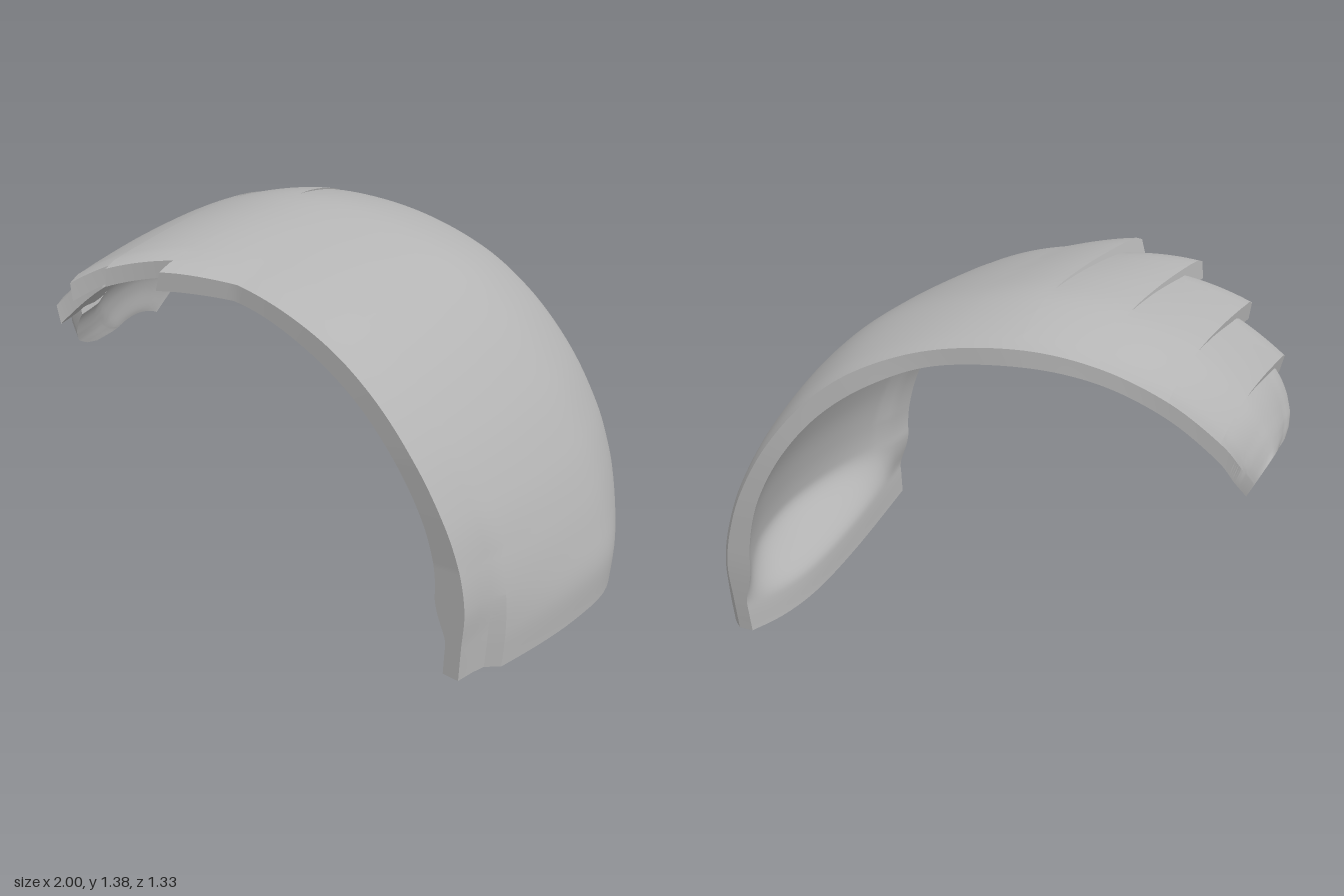
import * as THREE from 'three';
import { toCreasedNormals } from 'three/addons/utils/BufferGeometryUtils.js';

// Arch stations from the foot to the far tip: outer x, y, inner x, y, back edge z
const stations = [
  [0.99, 0, 0.66, 0.03, -0.66], [0.995, 0.16, 0.67, 0.15, -0.665], [0.965, 0.3, 0.71, 0.3, -0.665],
  [0.92, 0.45, 0.705, 0.45, -0.655], [0.85, 0.62, 0.66, 0.62, -0.64], [0.73, 0.835, 0.56, 0.81, -0.615],
  [0.555, 1.058, 0.42, 0.98, -0.577], [0.355, 1.22, 0.24, 1.115, -0.534], [0.06, 1.335, 0.02, 1.21, -0.478],
  [-0.23, 1.38, -0.27, 1.24, -0.415], [-0.49, 1.335, -0.505, 1.2, -0.345], [-0.72, 1.225, -0.705, 1.09, -0.265],
  [-0.89, 1.08, -0.86, 0.94, -0.19], [-0.965, 0.97, -0.915, 0.835, -0.135], [-1, 0.88, -0.945, 0.76, -0.08],
];
const last = stations.length - 1;
const outerCurve = new THREE.CatmullRomCurve3(stations.map(s => new THREE.Vector3(s[0], s[1], s[4])), false, 'catmullrom');
const innerCurve = new THREE.CatmullRomCurve3(stations.map(s => new THREE.Vector3(s[2], s[3], 0)), false, 'catmullrom');
const { lerp, clamp, smoothstep, mapLinear } = THREE.MathUtils;

// Piecewise linear lookup in a list of [position, value]
function lookup(table, t) {
  let i = 0;
  while (i < table.length - 2 && t > table[i + 1][0]) i++;
  const [a, b] = [table[i], table[i + 1]];
  return mapLinear(t, a[0], b[0], a[1], b[1]);
}
const smooth = pts => new THREE.SplineCurve(pts.map(p => new THREE.Vector2(...p))).getPoints(24);

// Cross-section across the shell: [position, depth], depth 0 = crown, 1 = inner rim
const crown = smooth([[0, 0.58], [0.06, 0.38], [0.2, 0.14], [0.37, 0], [0.6, 0.05], [0.8, 0.16], [1, 0.31]]);
const hollow = smooth([[0, 1], [0.06, 0.85], [0.2, 0.62], [0.4, 0.47], [0.6, 0.48], [0.8, 0.6], [1, 0.83]])
  .map(p => [p.x, p.y]);
// Inner face of the solid foot
const footFace = smooth([[0, 0.76], [0.12, 0.93], [0.3, 1], [0.6, 0.92], [1, 0.73]]).map(p => [p.x, p.y]);
// Width of the front lip and the inner front line, by station
const lipWidth = [[0, 0.16], [3, 0.18], [8.2, 0.15], [9, 0.135], [14, 0.13]];
const innerFront = [[0, 0.33], [8.2, 0.41], [9, 0.46], [10, 0.45], [11, 0.4], [12, 0.33], [14, 0.15]];

// One cross-section at station t with its front edge at zFront
function section(t, zFront, lift) {
  const o = outerCurve.getPoint(t / last), n = innerCurve.getPoint(t / last);
  const zBack = o.z, zCrease = zFront - lookup(lipWidth, t), zInner = lookup(innerFront, t);
  const solid = 1 - smoothstep(t, 0.9, 2.2);
  const tipFill = 0.6 * smoothstep(t, 12.6, 14);
  const step = lerp(0.45, 0.36, smoothstep(t, 1, 6));
  const at = (d, z) => [o.x + (n.x - o.x) * d, o.y + (n.y - o.y) * d, z];
  const outer = [], inner = [];
  const add = (z, d, e, v) => {
    const flat = lookup(footFace, (z - zBack) / (zFront - zBack));
    outer.push(at(d - lift * v, z));
    inner.push(at(lerp(lerp(e, 1, tipFill), flat, solid), z));
  };
  for (const p of crown) {
    const z = lerp(zBack, zCrease, p.x);
    add(z, p.y, lookup(hollow, clamp((z - zBack) / (zInner - zBack), 0, 1)), p.x);
  }
  // lip in front of the crease
  add(zCrease + 0.04, step, 0.9, 1);
  add(zCrease + 0.09, step + 0.05, 0.96, 1);
  add(zFront, 0.55, 1, 1);
  return outer.concat(inner.reverse());
}

// Closed loft between the stations of a front edge table
function loft(edge, rows) {
  const t0 = edge[0][0], t1 = edge[edge.length - 1][0];
  const rings = [];
  for (let r = 0; r <= rows; r++) {
    const t = lerp(t0, t1, r / rows);
    rings.push(section(t, lookup(edge, t), 0.04 * smoothstep(t, t1 - 1, t1)));
  }
  const m = rings[0].length, pos = [];
  const tri = (a, b, c) => pos.push(...a, ...b, ...c);
  for (let r = 0; r < rows; r++) {
    for (let i = 0; i < m; i++) {
      const j = (i + 1) % m, A = rings[r], B = rings[r + 1];
      tri(A[i], B[i], A[j]);
      tri(A[j], B[i], B[j]);
    }
  }
  // end caps
  const [S, E] = [rings[0], rings[rows]];
  for (let i = 0; i < m / 2 - 1; i++) {
    const k = m - 1 - i;
    tri(S[i], S[i + 1], S[k]);
    tri(S[i + 1], S[k - 1], S[k]);
    tri(E[i], E[k], E[i + 1]);
    tri(E[i + 1], E[k], E[k - 1]);
  }
  const g = new THREE.BufferGeometry();
  g.setAttribute('position', new THREE.Float32BufferAttribute(pos, 3));
  return toCreasedNormals(g, 0.5);
}

export function createModel() {
  const group = new THREE.Group();
  group.name = 'archedShell';
  const grey = new THREE.MeshStandardMaterial({ color: 0xb4b4b4 });
  grey.name = 'grey';
  // front edges as [station, z]: the long arch, then the stepped plates
  const parts = [
    ['mainArch', [[0, 0.477], [3, 0.49], [5, 0.52], [8.2, 0.55], [9, 0.66]], 90],
    ['firstPlate', [[9, 0.51], [10, 0.65]], 12],
    ['secondPlate', [[10, 0.5], [11, 0.61]], 12],
    ['thirdPlate', [[11, 0.46], [12, 0.53]], 12],
    ['tipPlate', [[12, 0.42], [12.8, 0.41], [13.4, 0.38], [13.8, 0.33], [14, 0.27]], 20],
  ];
  for (const [name, edge, rows] of parts) {
    const mesh = new THREE.Mesh(loft(edge, rows), grey);
    mesh.name = name;
    group.add(mesh);
  }
  return group;
}
